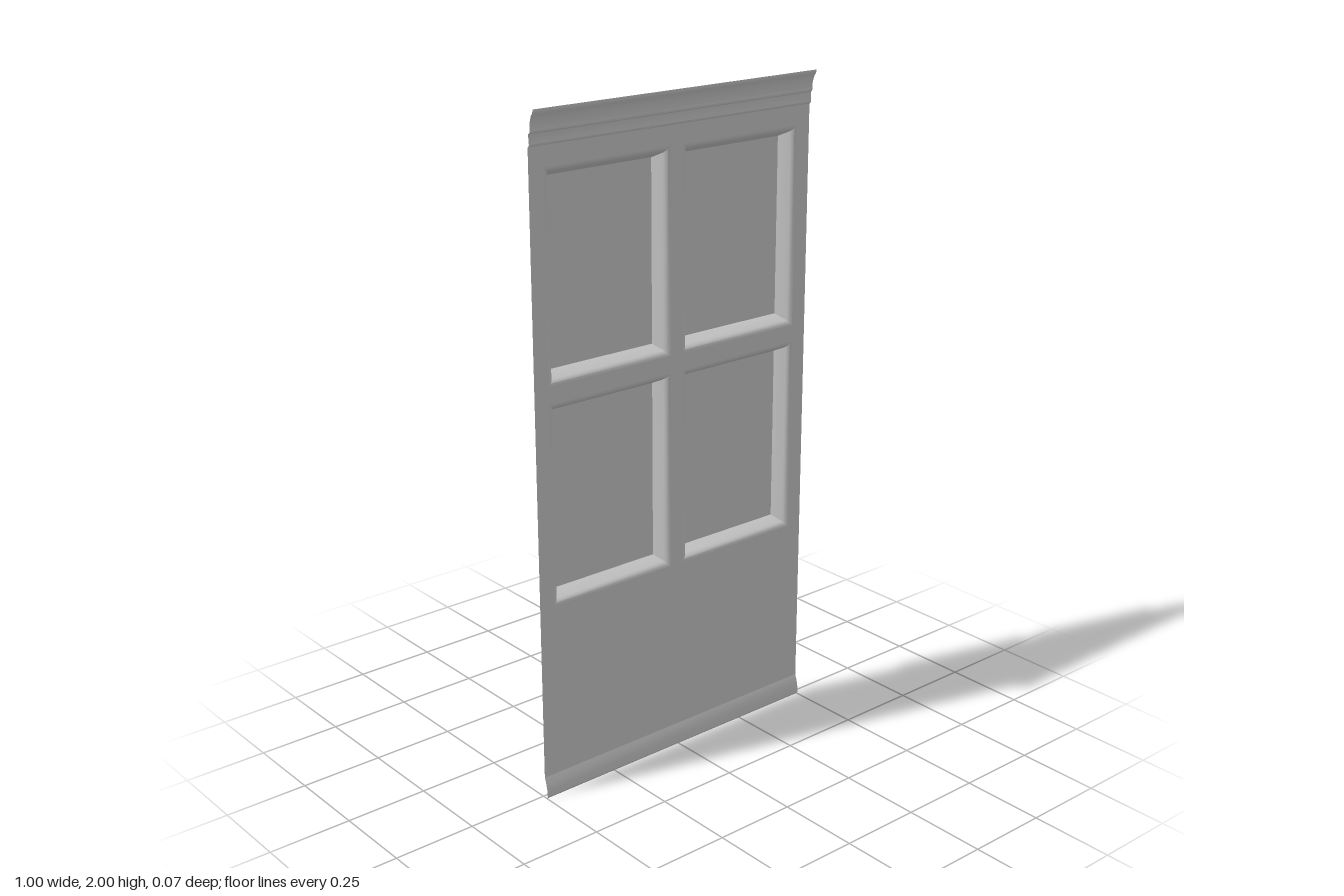
import * as THREE from 'three';
import { toCreasedNormals } from 'three/addons/utils/BufferGeometryUtils.js';

const WALL_Z = 0.009;
const BACK_Z = -0.034;
const HALF_W = 0.5;

const material = new THREE.MeshStandardMaterial({ color: 0xcccccc, side: THREE.DoubleSide });

// Joins rows of points into a surface; closed rows wrap around.
function loft(rows, closed, crease) {
  const n = rows[0].length;
  const index = [];
  for (let r = 0; r < rows.length - 1; r++) {
    for (let i = 0; i < (closed ? n : n - 1); i++) {
      const j = (i + 1) % n;
      const a = r * n + i, b = r * n + j, c = a + n, d = b + n;
      index.push(a, b, d, a, d, c);
    }
  }
  const geometry = new THREE.BufferGeometry();
  geometry.setAttribute('position', new THREE.Float32BufferAttribute(rows.flat(2), 3));
  geometry.setIndex(index);
  return toCreasedNormals(geometry, crease);
}

function addMesh(parent, name, geometry) {
  const mesh = new THREE.Mesh(geometry, material);
  mesh.name = name;
  parent.add(mesh);
}

// Moulding strip: a [z, y] profile, bottom to top, swept across the width.
function moulding(profile) {
  return loft(profile.map(([z, y]) => [[-HALF_W, y, z], [HALF_W, y, z]]), false, 0.5);
}

// Corners of a rectangle, counter-clockwise, moved inwards by inset.
function corners({ x0, x1, y0, y1 }, inset) {
  return [
    [x0 + inset, y0 + inset], [x1 - inset, y0 + inset],
    [x1 - inset, y1 - inset], [x0 + inset, y1 - inset],
  ];
}

const toPoints = (list) => list.map(([x, y]) => new THREE.Vector2(x, y));

export function createModel() {
  const model = new THREE.Group();
  model.name = 'wallPanel';

  // Four recess openings, two columns by two rows
  const recesses = [];
  for (const [y0, y1] of [[0.597, 1.193], [1.246, 1.842]]) {
    recesses.push({ x0: -0.45, x1: -0.024, y0, y1 }, { x0: 0.024, x1: 0.45, y0, y1 });
  }

  // Flat sheet with the openings cut out
  const sheet = new THREE.Shape(toPoints([[-HALF_W, 0.065], [HALF_W, 0.065], [HALF_W, 1.9], [-HALF_W, 1.9]]));
  for (const recess of recesses) {
    sheet.holes.push(new THREE.Path(toPoints(corners(recess, 0).reverse())));
  }
  addMesh(model, 'sheet', new THREE.ShapeGeometry(sheet).translate(0, 0, WALL_Z));

  // Mitred frame profile as [inset, z]: rounded lip, then a straight slope
  const lip = [[0, WALL_Z], [0.006, 0.007], [0.011, 0.004], [0.015, -0.001], [0.017, -0.004], [0.032, BACK_Z]];
  for (const recess of recesses) {
    const group = new THREE.Group();
    group.name = 'recessedPanel';
    const rings = lip.map(([inset, z]) => corners(recess, inset).map(([x, y]) => [x, y, z]));
    addMesh(group, 'bevelFrame', loft(rings, true, 0.6));
    const floor = new THREE.Shape(toPoints(corners(recess, 0.032)));
    addMesh(group, 'panelFloor', new THREE.ShapeGeometry(floor).translate(0, 0, BACK_Z));
    model.add(group);
  }

  // Crown: small bead, step, then a cove flaring forward to the top edge
  addMesh(model, 'crownMoulding', moulding([
    [WALL_Z, 1.9], [0.013, 1.902], [0.015, 1.907], [0.014, 1.913], [0.013, 1.934],
    [0.018, 1.937], [0.02, 1.942], [0.019, 1.948], [0.02, 1.96], [0.023, 1.973],
    [0.027, 1.983], [0.032, 1.989], [0.034, 1.994], [0.034, 2],
  ]));

  // Base: gentle flare with a turned-under lower edge
  addMesh(model, 'baseMoulding', moulding([
    [0.017, 0], [0.021, 0.006], [0.02, 0.025], [0.016, 0.045], [WALL_Z, 0.065],
  ]));

  return model;
}
